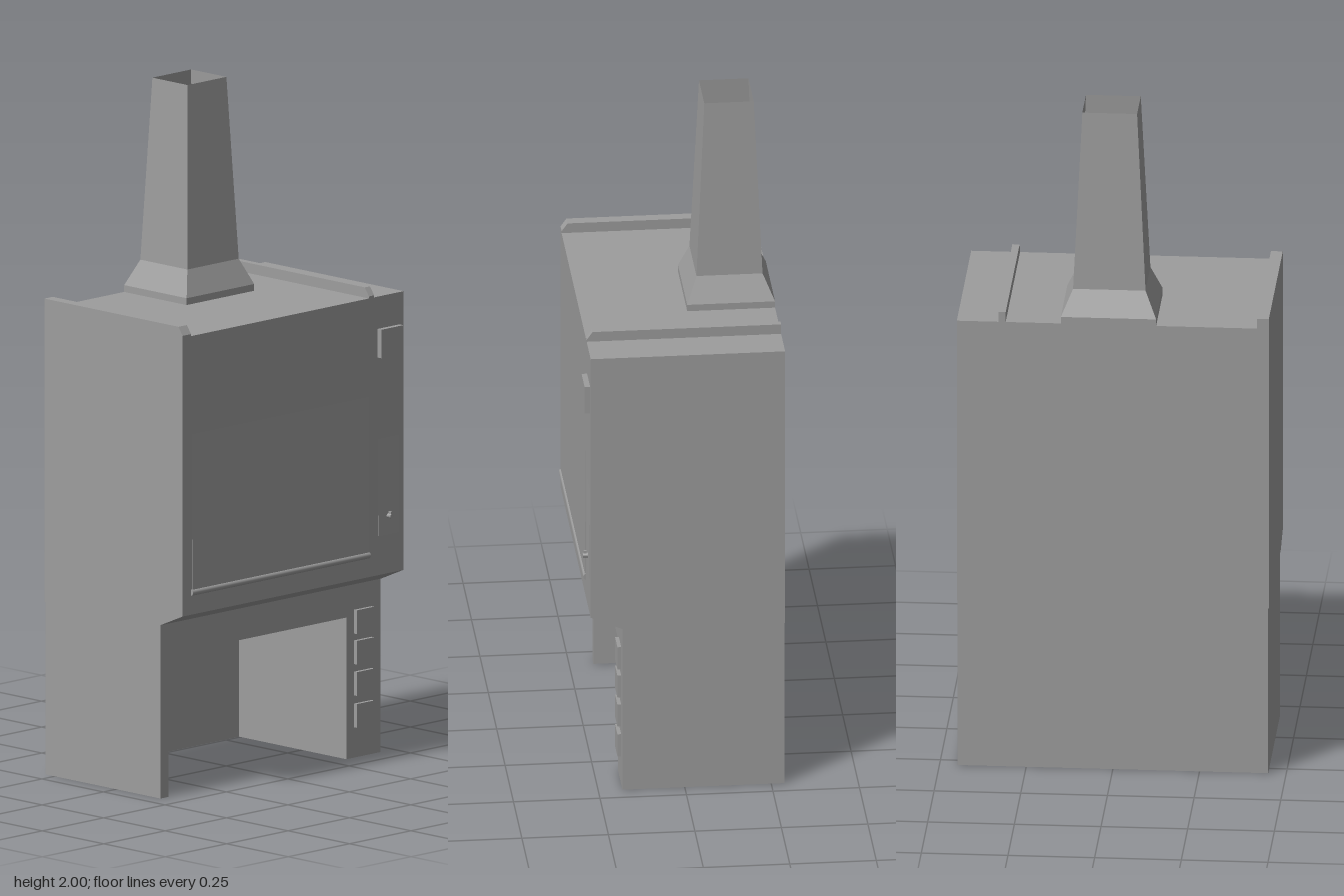
import * as THREE from 'three';

const COLOR = 0x9d9d9d;
const flat = new THREE.MeshStandardMaterial({ color: COLOR, flatShading: true });
const flatOpen = new THREE.MeshStandardMaterial({ color: COLOR, flatShading: true, side: THREE.DoubleSide });
const smooth = new THREE.MeshStandardMaterial({ color: COLOR });

const BACK = -0.29;
const FRONT = 0.272;

export function createModel() {
  const model = new THREE.Group();

  function add(name, geometry, material = flat) {
    const mesh = new THREE.Mesh(geometry, material);
    mesh.name = name;
    model.add(mesh);
  }

  // Box given by its limits on each axis
  function box(name, x0, x1, y0, y1, z0, z1) {
    const g = new THREE.BoxGeometry(x1 - x0, y1 - y0, z1 - z0);
    g.translate((x0 + x1) / 2, (y0 + y1) / 2, (z0 + z1) / 2);
    add(name, g);
  }

  // Outline of 2D points extruded by a depth
  function extrude(points, depth) {
    const shape = new THREE.Shape(points.map(([x, y]) => new THREE.Vector2(x, y)));
    return new THREE.ExtrudeGeometry(shape, { depth, bevelEnabled: false });
  }

  // Side profile of [z, y] points, extruded from x0 to x1
  function sideProfile(name, points, x0, x1) {
    const g = extrude(points, x1 - x0);
    g.rotateY(-Math.PI / 2);
    g.translate(x1, 0, 0);
    add(name, g);
  }

  // Open tube through rectangular rings [y, x0, x1, z0, z1], bottom to top
  function rectLoft(rings) {
    const pos = [], idx = [];
    for (const [y, x0, x1, z0, z1] of rings) pos.push(x0, y, z1, x1, y, z1, x1, y, z0, x0, y, z0);
    for (let r = 0; r < rings.length - 1; r++) {
      for (let i = 0; i < 4; i++) {
        const a = r * 4 + i, b = r * 4 + (i + 1) % 4;
        idx.push(a, b, b + 4, a, b + 4, a + 4);
      }
    }
    const g = new THREE.BufferGeometry();
    g.setAttribute('position', new THREE.Float32BufferAttribute(pos, 3));
    g.setIndex(idx);
    const faceted = g.toNonIndexed();
    faceted.computeVertexNormals();
    return faceted;
  }

  // Base: front frame with knee opening, closed at the back, set in slightly under the cabinet
  const base = extrude([
    [-0.448, 0], [-0.416, 0], [-0.416, 0.417], [0.309, 0.417],
    [0.309, 0], [0.448, 0], [0.448, 0.51], [-0.448, 0.51]
  ], 0.18 - BACK - 0.002);
  base.translate(0, 0, BACK + 0.002);
  add('baseFrame', base);
  box('baseBackPanel', -0.416, 0.309, 0, 0.417, BACK + 0.002, BACK + 0.034);

  // Upper cabinet with sloping lower lip
  sideProfile('cabinet', [
    [BACK, 0.508], [0.18, 0.51], [FRONT, 0.55], [FRONT, 1.37], [BACK, 1.37]
  ], -0.45, 0.45);

  // Sash and service panel, leaning back until flush with the cabinet
  sideProfile('sash', [[0.26, 0.615], [0.275, 0.615], [FRONT, 1.08], [0.26, 1.08]], -0.413, 0.307);
  sideProfile('servicePanel', [[0.26, 0.665], [0.274, 0.665], [FRONT, 0.95], [0.26, 0.95]], 0.345, 0.43);

  // Rounded pull bar along the foot of the sash
  const handle = new THREE.CylinderGeometry(0.01, 0.01, 0.725, 16);
  handle.rotateZ(Math.PI / 2);
  handle.translate(-0.0535, 0.615, 0.27);
  add('sashHandle', handle, smooth);

  // Roof rails with sloped front ends
  const rail = [[BACK, 1.37], [FRONT, 1.37], [FRONT, 1.376], [0.255, 1.4], [BACK, 1.4]];
  sideProfile('leftRoofRail', rail, 0.309, 0.33);
  sideProfile('rightRoofRail', rail, -0.45, -0.416);

  // Hollow tapering exhaust duct
  add('exhaustDuct', rectLoft([
    [1.37, -0.125, 0.15, BACK, -0.036],
    [1.39, -0.125, 0.15, BACK, -0.036],
    [1.465, -0.092, 0.117, -0.257, -0.066],
    [2.0, -0.066, 0.092, -0.234, -0.091]
  ]), flatOpen);

  // Outlet plates and control panel
  [0.4, 0.31, 0.218, 0.124].forEach((y, i) =>
    box('outlet' + (i + 1), 0.341, 0.411, y - 0.035, y + 0.035, 0.17, 0.191));
  box('controlPanel', 0.343, 0.433, 1.191, 1.275, 0.26, 0.288);

  // Small service tap
  const stem = new THREE.CylinderGeometry(0.007, 0.007, 0.02, 12);
  stem.rotateX(Math.PI / 2);
  stem.translate(0.386, 0.72, 0.279);
  add('tapStem', stem);
  box('tapLever', 0.383, 0.389, 0.72, 0.734, 0.278, 0.287);

  return model;
}
